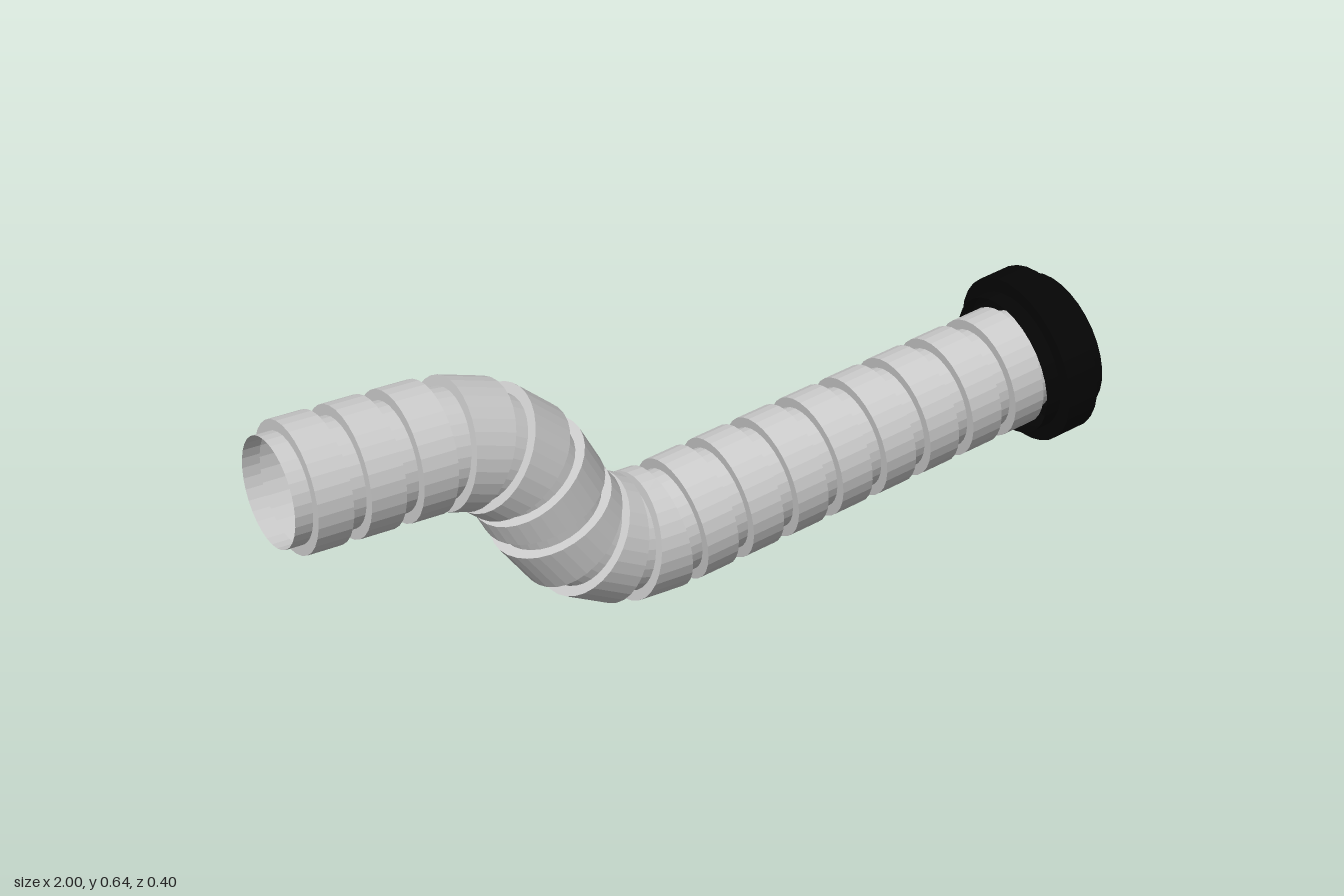
import * as THREE from 'three';

const SIDES = 32;
const rad = THREE.MathUtils.degToRad;

// Sweeps circular rings along a planar path; stations are [fraction, radius] pairs.
function sweep(path, stations, material, name) {
  const pos = [], index = [];
  for (const [t, r] of stations) {
    const p = path.getPoint(t), d = path.getTangent(t);
    for (let j = 0; j < SIDES; j++) {
      const a = (j / SIDES) * Math.PI * 2, n = r * Math.cos(a);
      pos.push(p.x - d.y * n, p.y + d.x * n, r * Math.sin(a));
    }
  }
  for (let i = 0; i < stations.length - 1; i++) {
    for (let j = 0; j < SIDES; j++) {
      const a = i * SIDES + j, b = i * SIDES + (j + 1) % SIDES;
      index.push(a, b, a + SIDES, b, b + SIDES, a + SIDES);
    }
  }
  const geo = new THREE.BufferGeometry();
  geo.setAttribute('position', new THREE.Float32BufferAttribute(pos, 3));
  geo.setIndex(index);
  geo.computeVertexNormals();
  const mesh = new THREE.Mesh(geo, material);
  mesh.name = name;
  return mesh;
}

export function createModel() {
  const group = new THREE.Group();
  group.name = 'corrugatedHose';
  const grey = new THREE.MeshStandardMaterial({ color: 0xcccccc, flatShading: true, side: THREE.DoubleSide });
  const black = new THREE.MeshStandardMaterial({ color: 0x050505, flatShading: true, side: THREE.DoubleSide });

  // Hose centre line: level run, bend down, bend back, gently rising run
  const path = new THREE.Path();
  path.moveTo(-1, 0.504);
  path.lineTo(-0.66, 0.504);
  path.absarc(-0.66, 0.204, 0.3, rad(90), rad(25), true);
  path.absarc(-0.14, 0.392, 0.25, rad(205), rad(278), false);
  path.lineTo(0.87, 0.28);

  // Hose: narrow grooves alternating with wide square ridges
  const ridges = 17, groove = 0.118, ridge = 0.141;
  const period = 1 / (ridges + 1 / 3);
  const stations = [[0, groove]];
  for (let k = 0; k < ridges; k++) {
    const start = (k + 1 / 3) * period, end = (k + 1) * period;
    stations.push([start, groove], [start, ridge], [end, ridge], [end, groove]);
  }
  stations.push([1, groove]);
  group.add(sweep(path, stations, grey, 'hose'));

  // Collar: thin sleeve with a raised middle band, open at both ends
  const axis = new THREE.Path();
  axis.moveTo(0.822, 0.276);
  axis.lineTo(0.977, 0.298);
  group.add(sweep(axis, [
    [0, 0.165], [0.24, 0.165], [0.24, 0.199], [0.74, 0.199], [0.74, 0.165], [1, 0.165],
  ], black, 'endCollar'));

  return group;
}
